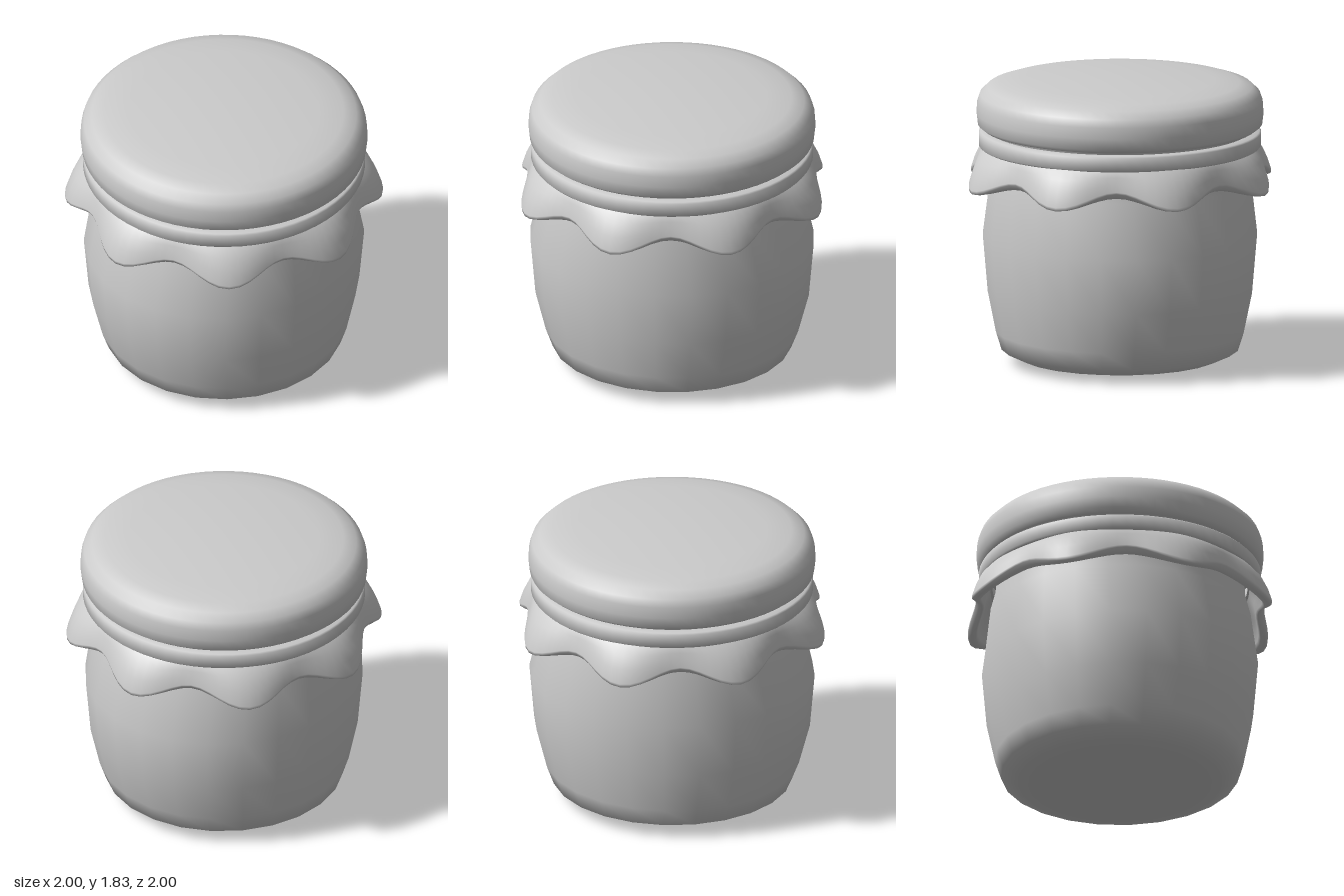
import * as THREE from 'three';
import { mergeVertices, toCreasedNormals } from 'three/addons/utils/BufferGeometryUtils.js';

const material = new THREE.MeshStandardMaterial({ color: 0xcccccc, side: THREE.DoubleSide });

function lathe(profile, segments) {
  return new THREE.LatheGeometry(profile.map(([r, y]) => new THREE.Vector2(r, y)), segments);
}

// Welds the seam and poles so that the shading runs smoothly all round
function weld(geometry) {
  geometry.deleteAttribute('normal');
  geometry.deleteAttribute('uv');
  const welded = mergeVertices(geometry, 1e-4);
  welded.computeVertexNormals();
  return welded;
}

function addPart(group, name, geometry) {
  const mesh = new THREE.Mesh(geometry, material);
  mesh.name = name;
  group.add(mesh);
}

// Bulging body, built from slightly oval rings: [height, half width, half depth]
function jarBody() {
  const rings = [
    [0.005, 0, 0], [0.025, 0.5, 0.5], [0.04, 0.63, 0.63], [0.095, 0.745, 0.755],
    [0.21, 0.78, 0.80], [0.47, 0.83, 0.87], [0.82, 0.86, 0.9],
    [1.17, 0.825, 0.81], [1.3, 0.79, 0.78], [1.42, 0.78, 0.78],
  ];
  const geometry = lathe(rings.map(([y, rx]) => [rx, y]), 24);
  const p = geometry.attributes.position;
  for (let i = 0; i < p.count; i++) {
    const [, rx, rz] = rings[i % rings.length];
    if (rx > 0) p.setZ(i, p.getZ(i) * rz / rx);
  }
  return weld(geometry);
}

// Flared cloth skirt with eight folds; each row blends a valley into a crest
function clothSkirt() {
  // [valley radius, valley height, crest radius, crest height]
  const rows = [
    [0.84, 1.42, 0.84, 1.42], [0.865, 1.385, 0.88, 1.385], [0.88, 1.35, 0.93, 1.33],
    [0.89, 1.31, 0.97, 1.25], [0.905, 1.262, 0.998, 1.165], [0.902, 1.25, 0.995, 1.143],
    [0.885, 1.228, 0.975, 1.14], [0.865, 1.215, 0.945, 1.145], [0.85, 1.225, 0.93, 1.17],
    [0.84, 1.29, 0.905, 1.27], [0.81, 1.37, 0.82, 1.37],
  ].reverse();
  const geometry = lathe(rows.map(([r, y]) => [r, y]), 96);
  const p = geometry.attributes.position;
  for (let i = 0; i < p.count; i++) {
    const [r0, y0, r1, y1] = rows[i % rows.length];
    const angle = Math.atan2(p.getX(i), p.getZ(i));
    const w = 0.5 + 0.5 * Math.cos(8 * angle);
    const r = THREE.MathUtils.lerp(r0, r1, w);
    p.setXYZ(i, r * Math.sin(angle), THREE.MathUtils.lerp(y0, y1, w), r * Math.cos(angle));
  }
  return weld(geometry);
}

export function createModel() {
  const model = new THREE.Group();
  model.name = 'coveredJar';

  addPart(model, 'jarBody', jarBody());
  addPart(model, 'clothSkirt', clothSkirt());

  // Band tied round the neck
  addPart(model, 'neckBand', toCreasedNormals(lathe([
    [0.8, 1.385], [0.875, 1.385], [0.885, 1.395], [0.885, 1.475], [0.875, 1.485], [0.8, 1.485],
  ], 64), 0.9));

  // Puffed cloth cover over the lid
  addPart(model, 'lidCover', weld(lathe([
    [0.82, 1.42], [0.82, 1.495], [0.86, 1.505], [0.892, 1.53], [0.9, 1.6], [0.895, 1.67],
    [0.878, 1.72], [0.83, 1.765], [0.75, 1.79], [0.6, 1.81], [0.3, 1.825], [0, 1.832],
  ], 64)));

  return model;
}
